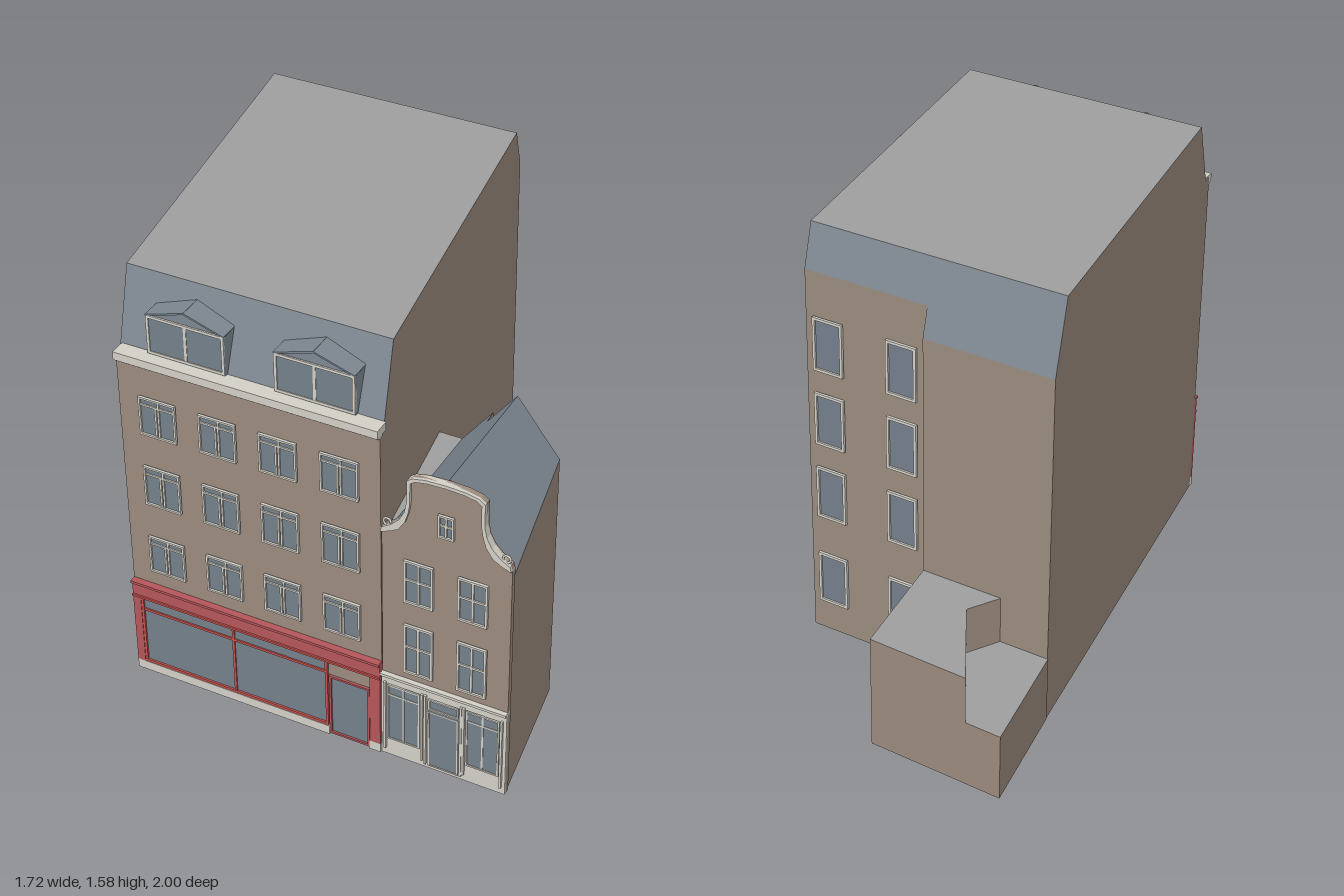
import * as THREE from 'three';

const paint = (name, color) => {
  const m = new THREE.MeshStandardMaterial({ color });
  m.name = name;
  return m;
};

export function createModel() {
  const brick = paint('brick brown', 0x9a8a7d);
  const slate = paint('slate', 0x7d8791);
  const flat = paint('flat roof grey', 0x9e9e9e);
  const cream = paint('cream trim', 0xd2cfc6);
  const red = paint('shop red', 0xb4565a);
  const redFrame = paint('bright red frame', 0xc9534f);
  const glass = paint('glass', 0x747f8a);

  const model = new THREE.Group();
  model.name = 'townhouses';
  const F = 0.975; // front wall plane

  const add = (name, geometry, material, parent = model) => {
    const mesh = new THREE.Mesh(geometry, material);
    mesh.name = name;
    parent.add(mesh);
    return mesh;
  };

  // box given by its limits
  const box = (name, x0, x1, y0, y1, z0, z1, material, parent = model) =>
    add(name, new THREE.BoxGeometry(x1 - x0, y1 - y0, z1 - z0), material, parent)
      .position.set((x0 + x1) / 2, (y0 + y1) / 2, (z0 + z1) / 2);

  // upright block over an [x, z] plan, its top following height(x, z)
  const block = (name, plan, height, wallMat, topMat, y0 = 0) => {
    let ring = plan.map(([x, z]) => new THREE.Vector2(x, -z));
    if (THREE.ShapeUtils.isClockWise(ring)) ring = ring.reverse();
    const low = ring.map(p => [p.x, y0, -p.y]);
    const top = ring.map(p => [p.x, height(p.x, -p.y), -p.y]);
    const tris = THREE.ShapeUtils.triangulateShape(ring, []);
    const pos = [];
    ring.forEach((p, i) => {
      const j = (i + 1) % ring.length;
      pos.push(...low[i], ...low[j], ...top[j], ...low[i], ...top[j], ...top[i]);
    });
    tris.forEach(([a, b, c]) => pos.push(...low[c], ...low[b], ...low[a]));
    const wallCount = pos.length / 3;
    tris.forEach(([a, b, c]) => pos.push(...top[a], ...top[b], ...top[c]));
    const g = new THREE.BufferGeometry();
    g.setAttribute('position', new THREE.Float32BufferAttribute(pos, 3));
    g.addGroup(0, wallCount, 0);
    g.addGroup(wallCount, pos.length / 3 - wallCount, 1);
    g.computeVertexNormals();
    return add(name, g, [wallMat, topMat]);
  };

  // framed window; bars are [vertical, position, from, to] as fractions
  const windowUnit = (name, x0, x1, y0, y1, z, bars, opts = {}) => {
    const { mat = cream, t = 0.008, depth = 0.01, parent = model } = opts;
    const g = new THREE.Group();
    g.name = name;
    parent.add(g);
    box('glass', x0, x1, y0, y1, z - 0.004, z + 0.003, glass, g);
    const w = x1 - x0, h = y1 - y0;
    box('frameBottom', x0, x1, y0, y0 + t, z - 0.003, z + depth, mat, g);
    box('frameTop', x0, x1, y1 - t, y1, z - 0.003, z + depth, mat, g);
    box('frameLeft', x1 - t, x1, y0 + t, y1 - t, z - 0.003, z + depth, mat, g);
    box('frameRight', x0, x0 + t, y0 + t, y1 - t, z - 0.003, z + depth, mat, g);
    for (const [vertical, p, a, b] of bars) {
      const c = vertical ? x0 + p * w : y0 + p * h;
      if (vertical) box('mullion', c - t / 2, c + t / 2, y0 + a * h, y0 + b * h, z, z + depth * 0.8, mat, g);
      else box('transom', x0 + a * w, x0 + b * w, c - t / 2, c + t / 2, z, z + depth * 0.8, mat, g);
    }
    return g;
  };
  const cross = p => [[true, 0.5, 0, 1], [false, p, 0, 1]];

  // ---- tall house: slanted plan, mansard front and back ----
  const xl = z => -0.545 + (z - F) * 0.157;
  const xr = z => 0.405 + (z - F) * 0.15;
  const xs = z => -0.295 + (z + 0.53) * 0.155;
  const mainH = (x, z) => Math.max(1.33, Math.min(1.58, 1.58 - (z - 0.845) * 2.78, 1.58 + (z + 0.475) * 2.72));
  const band = (name, z0, z1, left, right, top) =>
    block(name, [[left(z1), z1], [right(z1), z1], [right(z0), z0], [left(z0), z0]], mainH, brick, top);
  band('frontWall', 0.935, F, xl, xr, cream);
  band('frontMansard', 0.845, 0.935, xl, xr, slate);
  band('mainBody', -0.475, 0.845, xl, xr, flat);
  band('rearWing', -0.567, -0.475, xl, xs, slate);
  band('rearRecess', -0.53, -0.475, xs, xr, slate);

  // cornice
  box('cornice', -0.545, 0.405, 1.305, 1.335, 0.935, 0.993, cream);
  box('corniceMoulding', -0.545, 0.405, 1.298, 1.306, 0.96, 0.985, cream);

  // upper windows
  for (const cx of [-0.4, -0.178, 0.042, 0.262])
    for (const [y0, y1] of [[1.03, 1.18], [0.742, 0.9], [0.455, 0.605]])
      windowUnit('frontWindow', cx - 0.068, cx + 0.068, y0, y1, F,
        [[true, 0.46, 0, 0.8], [true, 0.54, 0, 1], [false, 0.8, 0, 1]], { t: 0.007 });

  // dormers
  for (const cx of [-0.297, 0.165]) {
    const roof = x => 1.525 - Math.abs(x - cx) * 0.32;
    for (const s of [-1, 1])
      block('dormerHalf', [[cx, 0.945], [cx + s * 0.142, 0.945], [cx + s * 0.142, 0.855], [cx, 0.855]],
        roof, slate, slate, 1.33);
    windowUnit('dormerWindow', cx - 0.142, cx + 0.142, 1.338, 1.483, 0.945, [[true, 0.5, 0, 1]], { t: 0.01, depth: 0.006 });
    for (const s of [-1, 1]) {
      const edge = new THREE.BoxGeometry(0.15, 0.006, 0.098);
      const m = add('dormerRoofEdge', edge, slate);
      m.position.set(cx + s * 0.071, 1.505, 0.902);
      m.rotation.z = -s * Math.atan(0.32);
    }
  }

  // shopfront
  box('shopBase', -0.545, 0.212, 0, 0.036, 0.96, 0.99, cream);
  box('shopBaseEnd', 0.364, 0.405, 0, 0.036, 0.96, 0.99, cream);
  box('shopFascia', -0.545, 0.405, 0.33, 0.393, 0.96, 0.99, red);
  box('fasciaCap', -0.545, 0.405, 0.385, 0.395, 0.96, 1, red);
  box('fasciaFoot', -0.545, 0.405, 0.326, 0.334, 0.96, 0.996, redFrame);
  box('pilasterRight', -0.545, -0.515, 0.036, 0.33, 0.96, 0.99, red);
  box('pilasterLeft', 0.366, 0.405, 0.036, 0.33, 0.96, 0.99, red);
  box('doorHead', 0.205, 0.366, 0.262, 0.33, 0.96, 0.979, brick);
  windowUnit('shopWindow', -0.515, 0.207, 0.036, 0.328, 0.978,
    [[true, 0.5, 0, 1], [false, 0.81, 0, 1]], { mat: redFrame, t: 0.009 });
  windowUnit('shopDoor', 0.212, 0.364, 0.005, 0.262, 0.978, [], { mat: red, t: 0.008 });

  // rear windows of the recess
  const rear = new THREE.Group();
  rear.name = 'rearWindows';
  rear.rotation.y = Math.PI;
  model.add(rear);
  for (const x of [-0.15, 0.138])
    for (const y of [1.06, 0.77, 0.475, 0.12])
      windowUnit('rearWindow', x, x + 0.117, y, y + 0.203, 0.53, [], { t: 0.01, parent: rear });

  // ---- low rear annex in two heights ----
  block('annexHigh', [[-0.605, -0.565], [-0.54, -0.68], [-0.73, -0.996], [-0.36, -0.985], [-0.3, -0.565]],
    () => 0.43, brick, flat);
  block('annexLow', [[-0.789, -0.565], [-0.863, -1], [-0.73, -0.996], [-0.54, -0.68], [-0.605, -0.565]],
    () => 0.252, brick, flat);

  // ---- small gabled house ----
  const houseH = x => 1.2 - 1.3 * Math.abs(x - 0.63);
  block('houseLeft', [[0.63, 0.965], [0.858, 0.965], [0.785, 0.455], [0.63, 0.455]], houseH, brick, slate);
  block('houseRight', [[0.4, 0.965], [0.63, 0.965], [0.63, 0.455], [0.525, 0.455], [0.51, 0.375], [0.4, 0.375]],
    houseH, brick, slate);
  block('houseGutter', [[0.31, 0.375], [0.4, 0.375], [0.402, 0.965]], () => 0.9, brick, flat);

  // bell gable: half outlines mirrored about the house centre
  const GC = 0.634;
  const outer = [[0.226, 0.945], [0.222, 0.965], [0.19, 0.985], [0.16, 1.015], [0.142, 1.05], [0.134, 1.09],
    [0.134, 1.175], [0.115, 1.19], [0.07, 1.2], [0, 1.203]];
  const inner = [[0.226, 0.945], [0.195, 0.957], [0.163, 0.975], [0.14, 1.01], [0.128, 1.05], [0.122, 1.09],
    [0.122, 1.168], [0.105, 1.18], [0.065, 1.188], [0, 1.191]];
  const mirror = half => [
    ...half.map(([d, y]) => new THREE.Vector2(GC + d, y)),
    ...half.slice(0, -1).reverse().map(([d, y]) => new THREE.Vector2(GC - d, y)),
  ];
  const plate = (name, pts, z, depth, mat) => {
    const g = new THREE.ExtrudeGeometry(new THREE.Shape(pts), { depth, bevelEnabled: false });
    g.translate(0, 0, z);
    return add(name, g, mat);
  };
  plate('gableFront', [new THREE.Vector2(GC - 0.226, 0), new THREE.Vector2(GC + 0.226, 0), ...mirror(outer)],
    0.955, 0.02, brick);
  plate('gableTrim', [...mirror(outer), ...mirror(inner).slice(1, -1).reverse()], 0.96, 0.026, cream);
  for (const s of [-1, 1])
    add('scroll', new THREE.TorusGeometry(0.013, 0.004, 6, 16), cream).position.set(GC + s * 0.206, 0.985, 0.975);

  // house windows
  windowUnit('atticWindow', 0.607, 0.662, 0.992, 1.08, F, cross(0.55), { t: 0.007 });
  for (const cx of [0.54, 0.73]) {
    windowUnit('houseWindowUpper', cx - 0.052, cx + 0.052, 0.685, 0.857, F, cross(0.55));
    windowUnit('houseWindowLower', cx - 0.052, cx + 0.052, 0.388, 0.592, F, cross(0.55));
  }

  // cream ground floor
  box('groundFloor', 0.407, 0.86, 0, 0.355, 0.96, 0.983, cream);
  box('groundFloorCap', 0.407, 0.86, 0.347, 0.357, 0.96, 0.993, cream);
  for (const cx of [0.49, 0.777]) {
    windowUnit('groundWindow', cx - 0.06, cx + 0.06, 0.075, 0.315, 0.983, cross(0.82), { t: 0.006, depth: 0.006 });
    for (const s of [-1, 1])
      box('groundPilaster', cx + s * 0.068 - 0.004, cx + s * 0.068 + 0.004, 0.03, 0.322, 0.98, 0.993, cream);
  }
  windowUnit('houseDoor', 0.58, 0.69, 0.014, 0.257, 0.983, [], { t: 0.005, depth: 0.005 });
  windowUnit('doorLight', 0.58, 0.69, 0.267, 0.31, 0.983, [], { t: 0.006, depth: 0.006 });
  for (const x of [0.57, 0.7]) box('doorPilaster', x - 0.004, x + 0.004, 0.02, 0.322, 0.98, 0.993, cream);

  return model;
}
